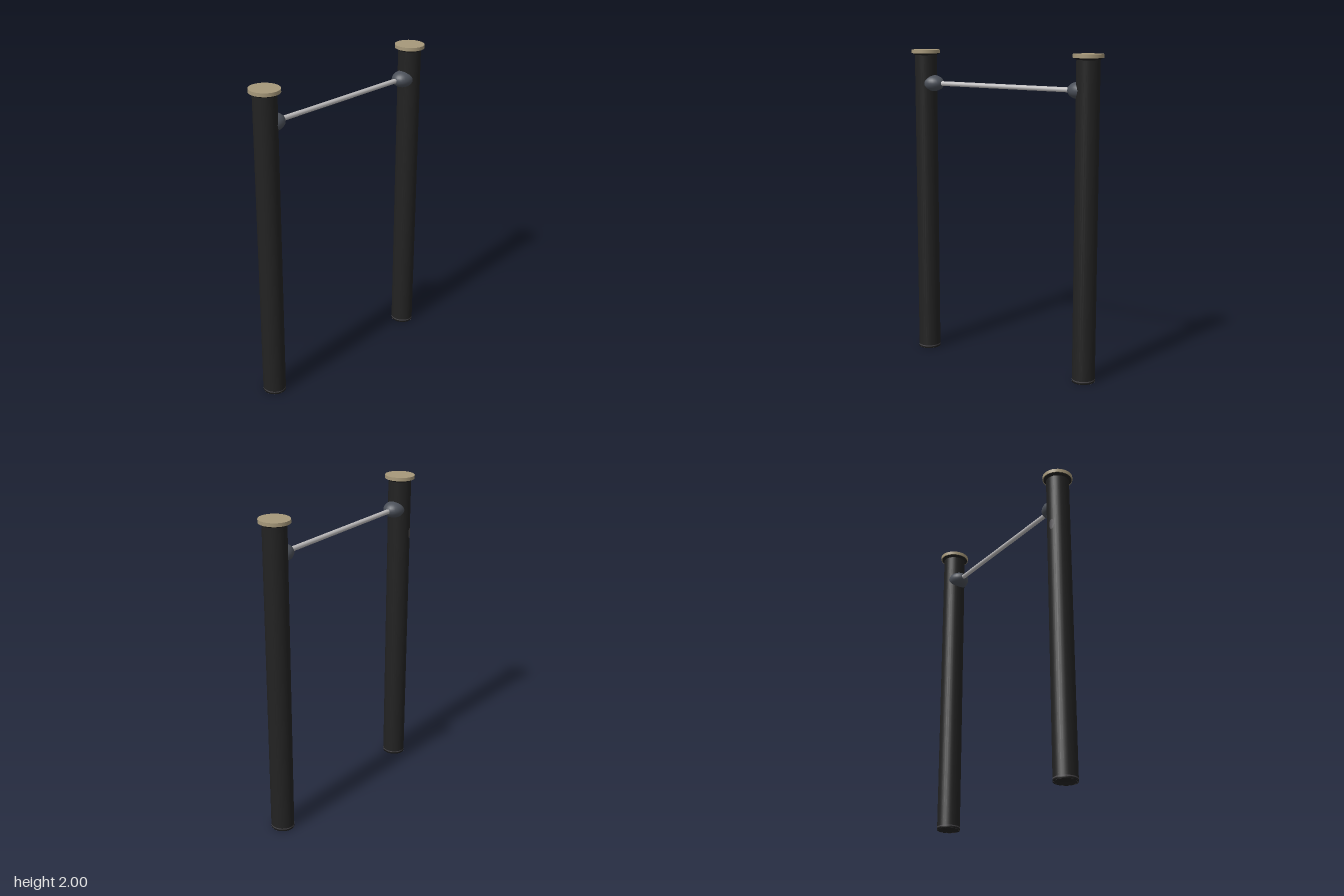
import * as THREE from 'three';

function mat(name, color, side = THREE.FrontSide) {
  const m = new THREE.MeshStandardMaterial({ color, side });
  m.name = name;
  return m;
}

export function createModel() {
  const black = mat('black post', 0x222222);
  const tan = mat('tan cap', 0xa6987a);
  const slate = mat('slate clamp', 0x4b5059);
  const steel = mat('steel bar', 0xbfbdbe);
  const grey = mat('grey detail', 0x4a484c, THREE.DoubleSide);

  const group = new THREE.Group();
  const add = (name, geometry, material, parent, x = 0, y = 0, z = 0) => {
    const mesh = new THREE.Mesh(geometry, material);
    mesh.name = name;
    mesh.position.set(x, y, z);
    parent.add(mesh);
    return mesh;
  };

  const postX = 0.607, depth = 1.05, barY = 1.786;

  for (const side of [-1, 1]) {
    const assembly = new THREE.Group();
    assembly.name = side > 0 ? 'leftPost' : 'rightPost';
    assembly.position.x = side * postX;
    group.add(assembly);

    // tube post with a straight wall
    add('post', new THREE.CylinderGeometry(0.07, 0.07, 1.965, 32, 1, true), black, assembly, 0, 0.9925, 0).scale.z = depth;

    // foot: rim with a shallow recess underneath
    const foot = [[0, 0.025], [0.048, 0.025], [0.048, 0], [0.07, 0], [0.07, 0.01]];
    add('foot', new THREE.LatheGeometry(foot.map(p => new THREE.Vector2(...p)), 32), black, assembly).scale.z = depth;
    const rim = add('footRim', new THREE.RingGeometry(0.06, 0.0705, 32), grey, assembly, 0, -0.0005 + 0.0005, 0);
    rim.rotation.x = Math.PI / 2;
    rim.scale.y = depth;
    add('footBand', new THREE.CylinderGeometry(0.0706, 0.0706, 0.007, 32, 1, true), grey, assembly, 0, 0.015, 0).scale.z = depth;

    // flared collar under the cap
    add('capCollar', new THREE.CylinderGeometry(0.086, 0.07, 0.012, 32), black, assembly, 0, 1.972, 0).scale.z = depth;
    add('cap', new THREE.CylinderGeometry(0.091, 0.091, 0.022, 32), tan, assembly, 0, 1.989, 0).scale.z = depth;

    // domed clamp on the inner face of the post
    add('clamp', new THREE.SphereGeometry(1, 24, 16), slate, assembly, -side * 0.055, barY, 0)
      .scale.set(0.078, 0.053, 0.066);
  }

  // horizontal bar
  const bar = add('bar', new THREE.CylinderGeometry(0.015, 0.015, 1.08, 12), steel, group, 0, barY, -0.002);
  bar.rotation.z = Math.PI / 2;

  // small oval plate wrapped round the back of one post
  const oval = new THREE.CircleGeometry(1, 20);
  const p = oval.attributes.position;
  for (let i = 0; i < p.count; i++) {
    const a = Math.PI + 0.28 + p.getX(i) * 0.25;
    p.setXYZ(i, 0.0712 * Math.sin(a), p.getY(i) * 0.035, 0.0712 * depth * Math.cos(a));
  }
  oval.computeVertexNormals();
  add('ovalPlate', oval, grey, group, -postX, 1.62, 0);

  return group;
}
